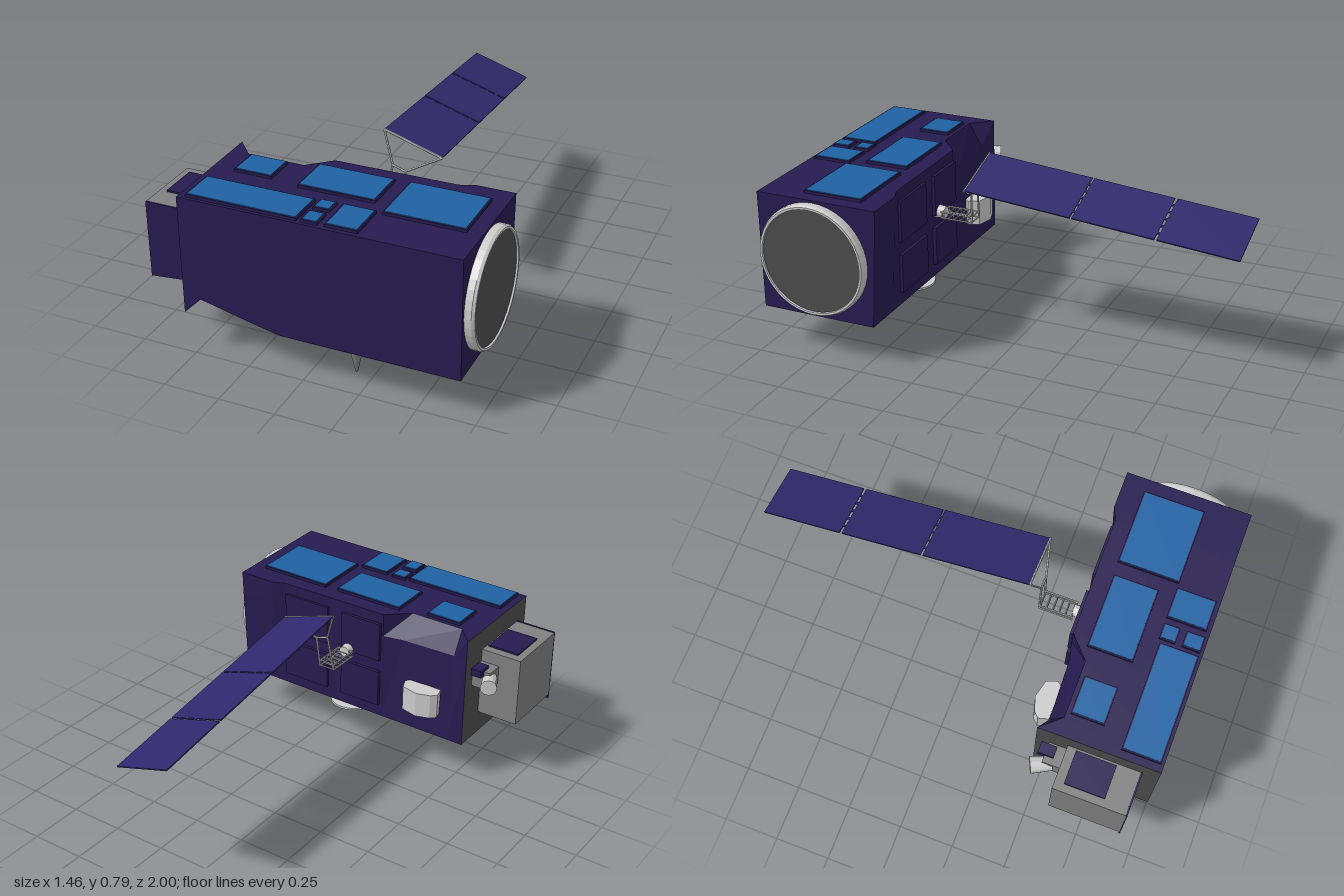
import * as THREE from 'three';

const mat = (color) => new THREE.MeshStandardMaterial({ color, flatShading: true, side: THREE.DoubleSide });
const foil = mat(0x261b50), wing = mat(0x30286c), cell = mat(0x1f62a3);
const grey = mat(0xcccccc), midGrey = mat(0x808080), darkGrey = mat(0x4c4c4c);
const V = (x, y, z) => new THREE.Vector3(x, y, z);

export function createModel() {
  const root = new THREE.Group();
  const add = (name, geometry, material, parent = root) => {
    const m = new THREE.Mesh(geometry, material);
    m.name = name;
    parent.add(m);
    return m;
  };
  const group = (name) => {
    const g = new THREE.Group();
    g.name = name;
    root.add(g);
    return g;
  };
  // box given by its limits on each axis
  const box = (name, x0, x1, y0, y1, z0, z1, material, parent) => {
    const m = add(name, new THREE.BoxGeometry(x1 - x0, y1 - y0, z1 - z0), material, parent);
    m.position.set((x0 + x1) / 2, (y0 + y1) / 2, (z0 + z1) / 2);
    return m;
  };
  // round bar between two points
  const rod = (name, a, b, r, material, parent, r2 = r, sides = 6) => {
    const d = b.clone().sub(a);
    const m = add(name, new THREE.CylinderGeometry(r2, r, d.length(), sides), material, parent);
    m.position.copy(a).addScaledVector(d, 0.5);
    m.quaternion.setFromUnitVectors(V(0, 1, 0), d.normalize());
    return m;
  };

  // Hull: cross-sections along x, with a notched belly and chamfered rear corner
  // x, front bottom y, belly y, top rear z, chamfer z, chamfer y
  const stations = [
    [-0.54, 0.19, 0.19, 0.46, 0.46, 0.62],
    [-0.46, 0.27, 0.16, 0.55, 0.49, 0.62],
    [-0.2, 0.21, 0.18, 0.55, 0.48, 0.62],
    [-0.1, 0.19, 0.19, 0.46, 0.46, 0.62],
    [0.45, 0.19, 0.19, 0.455, 0.455, 0.62],
    [0.51, 0.19, 0.19, 0.43, 0.435, 0.62],
    [0.685, 0.19, 0.19, 0.43, 0.435, 0.62],
  ];
  const rings = stations.map(([x, yb, ym, zt, zc, yc]) => [
    V(x, yb, 1), V(x, 0.73, 1), V(x, 0.73, zt), V(x, yc, zc),
    V(x, 0.19, 0.46), V(x, ym, 0.58), V(x, ym, 0.82),
  ]);
  const fromPoints = (points) => {
    const g = new THREE.BufferGeometry().setFromPoints(points);
    g.computeVertexNormals();
    return g;
  };
  const fan = (ring, flip) => {
    const out = [];
    for (let i = 1; i < ring.length - 1; i++) {
      out.push(ring[0], ...(flip ? [ring[i + 1], ring[i]] : [ring[i], ring[i + 1]]));
    }
    return out;
  };
  const skin = [];
  for (let s = 0; s < rings.length - 1; s++) {
    const p = rings[s], q = rings[s + 1];
    p.forEach((a, i) => {
      const j = (i + 1) % p.length;
      skin.push(a, q[i], q[j], a, q[j], p[j]);
    });
  }
  skin.push(...fan(rings[rings.length - 1], true));
  add('hull', fromPoints(skin), foil);
  add('hullEndPlate', fromPoints(fan(rings[0], false)), darkGrey);

  // Blue radiators on the roof, each on a dark backing plate
  const roof = group('roofRadiators');
  [
    [-0.5, -0.02, 0.82, 0.98], [0.01, 0.07, 0.81, 0.87], [0.01, 0.07, 0.91, 0.98], [0.11, 0.24, 0.81, 0.975],
    [-0.43, -0.27, 0.575, 0.71], [-0.13, 0.2, 0.54, 0.73], [0.275, 0.615, 0.535, 0.8],
  ].forEach(([x0, x1, z0, z1]) => {
    box('radiatorBacking', x0 - 0.006, x1 + 0.006, 0.725, 0.742, z0 - 0.006, z1 + 0.006, foil, roof);
    box('radiator', x0, x1, 0.73, 0.745, z0, z1, cell, roof);
  });

  // Rear access panels
  const rear = group('rearPanels');
  for (const [x0, x1] of [[-0.09, 0.12], [0.2, 0.44]]) {
    for (const [y0, y1] of [[0.25, 0.43], [0.49, 0.68]]) {
      box('rearPanel', x0, x1, y0, y1, 0.444, 0.47, foil, rear);
    }
  }

  // Round end with rim
  const end = group('endRing');
  end.position.set(0.685, 0.465, 0.73);
  end.rotation.z = -Math.PI / 2;
  const rim = [[0.255, -0.01], [0.255, 0.03], [0.248, 0.042], [0.238, 0.042], [0.235, 0.03]];
  add('rim', new THREE.LatheGeometry(rim.map(([r, h]) => new THREE.Vector2(r, h)), 40), grey, end);
  add('endDisc', new THREE.CylinderGeometry(0.238, 0.238, 0.04, 40), darkGrey, end).position.y = 0.014;

  // Equipment box on the other end
  const bay = group('equipmentBay');
  box('bayBody', -0.735, -0.53, 0.3, 0.63, 0.6, 0.925, midGrey, bay);
  box('bayTopPlate', -0.7, -0.55, 0.625, 0.638, 0.64, 0.82, foil, bay);
  const apron = new THREE.Shape([[-0.735, 0.28], [-0.53, 0.3], [-0.53, 0.632], [-0.735, 0.632]]
    .map((p) => new THREE.Vector2(...p)));
  add('bayFront', new THREE.ExtrudeGeometry(apron, { depth: 0.008, bevelEnabled: false }), foil, bay).position.z = 0.922;

  // Small sensor beside the bay
  const sensor = group('sensor');
  box('sensorBase', -0.63, -0.53, 0.48, 0.57, 0.52, 0.61, midGrey, sensor);
  box('sensorCover', -0.6, -0.55, 0.55, 0.585, 0.49, 0.56, foil, sensor);
  rod('sensorTube', V(-0.61, 0.525, 0.56), V(-0.65, 0.525, 0.475), 0.032, grey, sensor, 0.038, 12);

  // Faceted instrument housing on the rear
  const housing = new THREE.Shape([[-0.42, -0.43], [-0.395, -0.405], [-0.33, -0.385], [-0.25, -0.405], [-0.23, -0.455], [-0.27, -0.5], [-0.4, -0.5]]
    .map((p) => new THREE.Vector2(...p)));
  const housingMesh = add('rearInstrument', new THREE.ExtrudeGeometry(housing, { depth: 0.12, bevelEnabled: false }), grey);
  housingMesh.rotation.x = -Math.PI / 2;
  housingMesh.position.y = 0.31;

  // Underside: shallow cone, dish and spike antenna
  const cone = add('bellyCone', new THREE.ConeGeometry(0.225, 0.08, 32), foil);
  cone.rotation.x = Math.PI;
  cone.position.set(0.44, 0.15, 0.725);
  const dish = group('dishAntenna');
  rod('dishStem', V(0.13, 0.15, 0.575), V(0.13, 0.195, 0.575), 0.04, grey, dish, 0.04, 16);
  rod('dishPlate', V(0.13, 0.148, 0.575), V(0.13, 0.158, 0.575), 0.113, grey, dish, 0.113, 28);
  const spike = [[0, 0], [0.006, 0.01], [0.027, 0.105], [0.027, 0.2]];
  add('spikeAntenna', new THREE.LatheGeometry(spike.map(([r, h]) => new THREE.Vector2(r, h)), 16), midGrey)
    .position.set(0.175, 0, 0.86);

  // Boom: drive drum, ladder truss and yoke
  const boom = group('solarBoom');
  rod('driveDrum', V(0.08, 0.5, 0.47), V(0.08, 0.5, 0.41), 0.032, grey, boom, 0.026, 14);
  for (const x of [0.04, 0.115]) {
    for (const y of [0.485, 0.512]) rod('rail', V(x, y, 0.42), V(x, y, 0.265), 0.004, grey, boom);
  }
  for (let i = 0; i < 6; i++) {
    const z = 0.268 + i * 0.029;
    for (const y of [0.485, 0.512]) rod('rung', V(0.04, y, z), V(0.115, y, z), 0.003, grey, boom);
    for (const x of [0.04, 0.115]) rod('post', V(x, 0.485, z), V(x, 0.512, z), 0.003, grey, boom);
  }
  const A = V(0.015, 0.79, 0.22), B = V(0.28, 0.705, 0.22), D = V(-0.05, -0.13, -1.22);
  const kneeA = V(0.07, 0.65, 0.258), kneeB = V(0.13, 0.63, 0.258);
  [[V(0.04, 0.485, 0.265), kneeA], [V(0.115, 0.485, 0.265), kneeB], [kneeA, kneeB], [kneeA, A], [kneeB, B], [A, B]]
    .forEach(([a, b]) => rod('yokeBar', a, b, 0.005, grey, boom));

  // Solar wing: three panels joined by rows of small hinges
  const solar = group('solarWing');
  const U = B.clone().sub(A), Z = D.clone().negate();
  const N = Z.clone().cross(U).normalize();
  const basis = new THREE.Matrix4().makeBasis(U, N, Z).setPosition(A);
  const slab = (name, u0, u1, v0, v1, t) => {
    const g = new THREE.BoxGeometry(u1 - u0, t, v1 - v0);
    g.translate((u0 + u1) / 2, 0, -(v0 + v1) / 2);
    add(name, g.applyMatrix4(basis), wing, solar);
  };
  for (const [v0, v1] of [[0, 0.395], [0.402, 0.7], [0.709, 1]]) slab('solarPanel', 0, 1, v0, v1, 0.006);
  for (const [v0, v1] of [[0.394, 0.403], [0.699, 0.71]]) {
    for (let i = 0; i < 5; i++) slab('hinge', 0.14 + i * 0.17, 0.18 + i * 0.17, v0, v1, 0.005);
  }
  return root;
}
